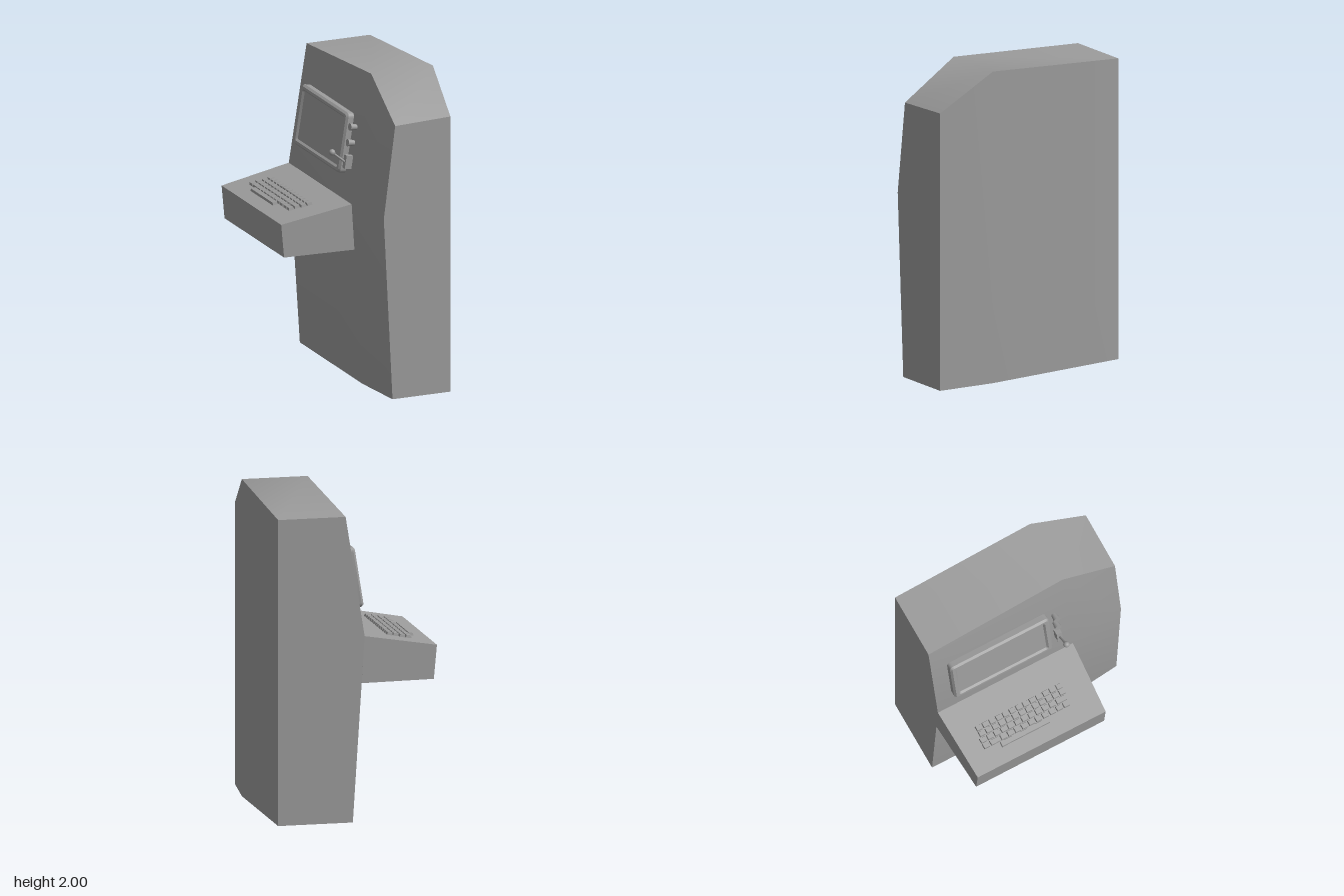
import * as THREE from 'three';
import { toCreasedNormals } from 'three/addons/utils/BufferGeometryUtils.js';

const material = new THREE.MeshStandardMaterial({ color: 0x9c9c9c });

function mesh(name, geometry, parent) {
  const m = new THREE.Mesh(geometry, material);
  m.name = name;
  parent.add(m);
  return m;
}

// Skin a row of equal cross-sections (counter-clockwise seen from +z, ordered -z to +z) and cap both ends
function loft(sections, crease) {
  const pos = [], n = sections[0].length;
  const tri = (a, b, c) => pos.push(...a, ...b, ...c);
  for (let s = 0; s < sections.length - 1; s++) {
    const p = sections[s], q = sections[s + 1];
    for (let i = 0; i < n; i++) {
      const j = (i + 1) % n;
      tri(p[i], p[j], q[j]);
      tri(p[i], q[j], q[i]);
    }
  }
  const first = sections[0], last = sections[sections.length - 1];
  for (let i = 1; i < n - 1; i++) {
    tri(last[0], last[i], last[i + 1]);
    tri(first[0], first[i + 1], first[i]);
  }
  const g = new THREE.BufferGeometry();
  g.setAttribute('position', new THREE.Float32BufferAttribute(pos, 3));
  return toCreasedNormals(g, crease);
}

function roundedRect(path, w, h, r) {
  const x = w / 2, y = h / 2;
  path.moveTo(-x + r, -y);
  path.lineTo(x - r, -y);
  path.quadraticCurveTo(x, -y, x, -y + r);
  path.lineTo(x, y - r);
  path.quadraticCurveTo(x, y, x - r, y);
  path.lineTo(-x + r, y);
  path.quadraticCurveTo(-x, y, -x, y - r);
  path.lineTo(-x, -y + r);
  path.quadraticCurveTo(-x, -y, -x + r, -y);
  return path;
}

// Key cap: a box on its base whose top is drawn in
function keyCap(w, h, d) {
  const g = new THREE.BoxGeometry(w, h, d).toNonIndexed();
  const p = g.attributes.position;
  for (let i = 0; i < p.count; i++) {
    if (p.getY(i) > 0) {
      p.setX(i, p.getX(i) - Math.sign(p.getX(i)) * 0.003);
      p.setZ(i, p.getZ(i) - Math.sign(p.getZ(i)) * 0.003);
    }
  }
  g.translate(0, h / 2, 0);
  g.computeVertexNormals();
  return g;
}

// Sloping upper panel, which faces -x
const panelLow = new THREE.Vector2(-0.042, 1.172);
const panelTop = new THREE.Vector2(0.09, 2);
const panelX = (y) => panelLow.x + (y - panelLow.y) * (panelTop.x - panelLow.x) / (panelTop.y - panelLow.y);
const shelfY = (x) => 1.09 + (x + 0.508) * 0.176;

// Group lying on the panel: local x runs along +z, local y up the slope, local z outwards
function onPanel(name, y, z, parent) {
  const g = new THREE.Group();
  const up = new THREE.Vector3(panelTop.x - panelLow.x, panelTop.y - panelLow.y, 0).normalize();
  const side = new THREE.Vector3(0, 0, 1);
  g.setRotationFromMatrix(new THREE.Matrix4().makeBasis(side, up, side.clone().cross(up)));
  g.position.set(panelX(y), y, z);
  g.name = name;
  parent.add(g);
  return g;
}

export function createModel() {
  const model = new THREE.Group();
  model.name = 'computerConsole';

  // Cabinet: three cross-sections, the last one drawn in and cut down
  const section = (z, back, topBack, topFront, xTop, xKink, xFoot) => [
    [back, 0, z], [back, topBack, z], [xTop, topFront, z], [xKink, panelLow.y, z], [xFoot, 0, z],
  ];
  mesh('cabinet', loft([
    section(-0.66, 0.508, 1.93, 1.93, panelX(1.93), panelLow.x, 0.033),
    section(0.292, 0.508, 2, 2, panelTop.x, panelLow.x, 0.033),
    section(0.66, 0.462, 1.78, 1.765, 0.088, 0.011, 0.07),
  ], 0.7), model);

  // Shelf, tapering slightly towards its outer edge
  const shelfEnd = (inner, outer) => [
    [-0.0232, 0.876, inner], [panelLow.x, panelLow.y, inner], [-0.508, 1.09, outer], [-0.488, 0.876, outer],
  ];
  mesh('shelf', loft([shelfEnd(-0.66, -0.635), shelfEnd(0.292, 0.267)], 0.5), model);

  // Keyboard
  const keyboard = new THREE.Group();
  keyboard.name = 'keyboard';
  model.add(keyboard);
  const addKey = (name, x, z, length) => {
    const k = mesh(name, keyCap(0.035, 0.017, length), keyboard);
    k.position.set(x, shelfY(x), z);
    k.rotation.z = Math.atan(0.176);
  };
  const ones = (n) => Array(n).fill(1);
  const rows = [
    { x: -0.357, start: -0.518, keys: [1, 1.5, ...ones(10)] },
    { x: -0.318, start: -0.518, keys: [...ones(11), 1.6] },
    { x: -0.279, start: -0.505, keys: ones(13) },
    { x: -0.24, start: -0.505, keys: ones(13) },
  ];
  for (const { x, start, keys } of rows) {
    const pitch = 0.612 / keys.reduce((a, b) => a + b);
    let z = start;
    for (const k of keys) {
      addKey('key', x, z + k * pitch / 2, k * pitch - 0.008);
      z += k * pitch;
    }
  }
  addKey('spaceBar', -0.395, -0.241, 0.337);

  // Screen set just behind its bevelled frame
  const display = onPanel('display', 1.515, -0.203, model);
  const outline = roundedRect(new THREE.Shape(), 0.695, 0.385, 0.03);
  outline.holes.push(roundedRect(new THREE.Path(), 0.608, 0.305, 0.006));
  const frame = new THREE.ExtrudeGeometry(outline, {
    depth: 0.037, bevelThickness: 0.013, bevelSize: 0.012, bevelOffset: -0.012, bevelSegments: 1, curveSegments: 5,
  });
  mesh('screenFrame', toCreasedNormals(frame, 0.5), display);
  mesh('screen', new THREE.BoxGeometry(0.63, 0.325, 0.038), display).position.z = 0.019;

  // Two flared knobs beside the screen
  for (const y of [1.535, 1.635]) {
    const knob = onPanel('knob', y, 0.197, model);
    const dial = mesh('dial', new THREE.CylinderGeometry(0.023, 0.017, 0.045, 20), knob);
    dial.rotation.x = Math.PI / 2;
    dial.position.z = 0.0225;
  }

  // Joystick: block, slanted rod and ball
  const joystick = new THREE.Group();
  joystick.name = 'joystick';
  model.add(joystick);
  const base = onPanel('joystickBase', 1.415, 0.197, joystick);
  mesh('block', new THREE.BoxGeometry(0.036, 0.085, 0.045), base).position.z = 0.0225;
  const foot = new THREE.Vector3(-0.037, 1.413, 0.197), tip = new THREE.Vector3(-0.132, 1.492, 0.197);
  const rod = mesh('rod', new THREE.CylinderGeometry(0.007, 0.007, foot.distanceTo(tip), 12), joystick);
  rod.position.copy(foot).lerp(tip, 0.5);
  rod.quaternion.setFromUnitVectors(new THREE.Vector3(0, 1, 0), tip.clone().sub(foot).normalize());
  mesh('ball', new THREE.SphereGeometry(0.02, 20, 14), joystick).position.copy(tip);

  return model;
}
